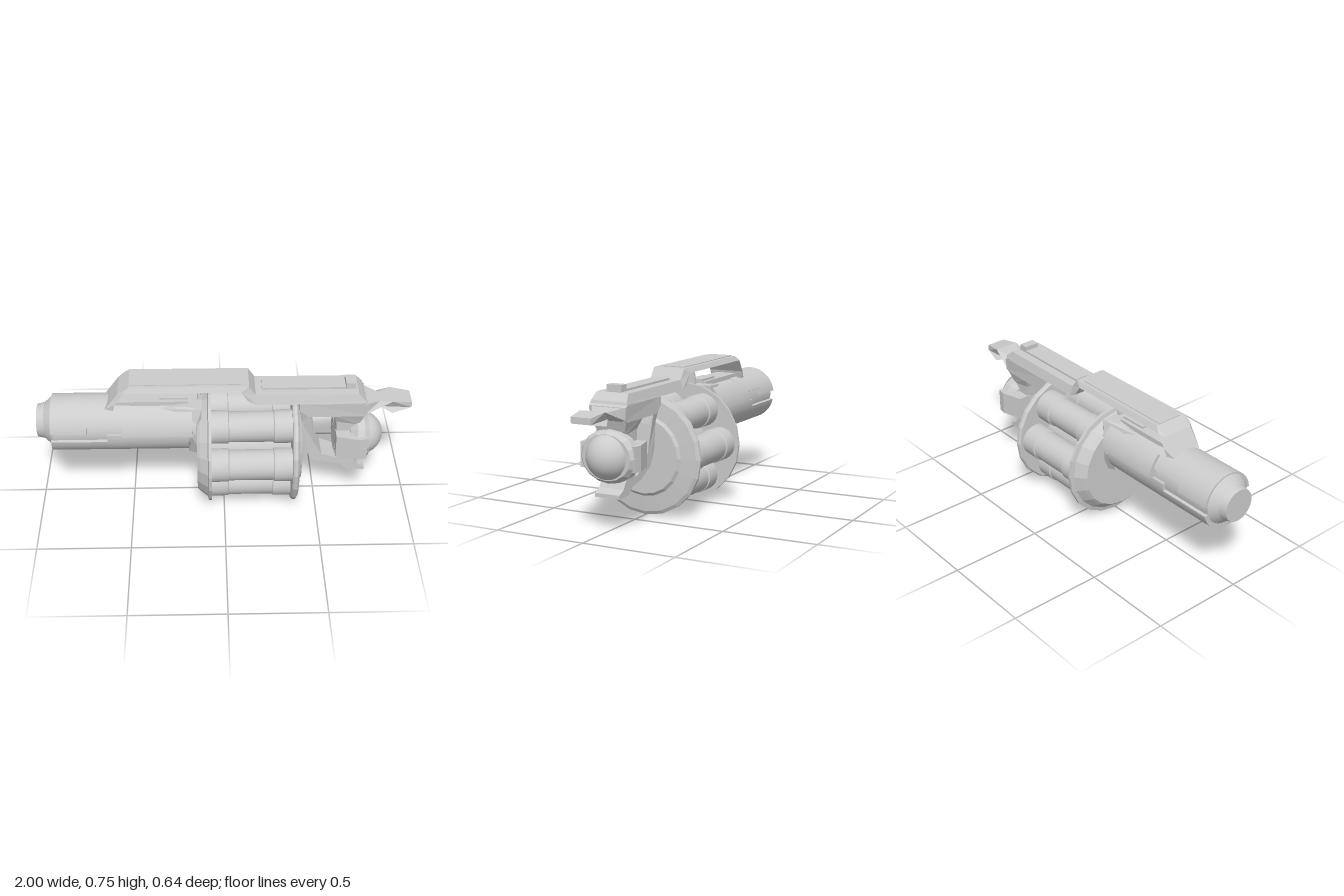
import * as THREE from 'three';
import { toCreasedNormals } from 'three/addons/utils/BufferGeometryUtils.js';

const flat = new THREE.MeshStandardMaterial({ color: 0xcccccc, flatShading: true });
const smooth = new THREE.MeshStandardMaterial({ color: 0xcccccc });

export function createModel() {
  const group = new THREE.Group();
  const BARREL_Y = 0.47, DRUM_Y = 0.318;

  function add(name, geometry, material = flat) {
    const mesh = new THREE.Mesh(geometry, material);
    mesh.name = name;
    group.add(mesh);
    return mesh;
  }

  // Side profile of [x, y, half width] points, widened point by point along z
  function slab(name, points) {
    const shape = new THREE.Shape(points.map(([x, y]) => new THREE.Vector2(x, y)));
    const geo = new THREE.ExtrudeGeometry(shape, { depth: 1, bevelEnabled: false });
    const width = new Map(points.map(([x, y, w]) => [x.toFixed(3) + y.toFixed(3), w]));
    const p = geo.attributes.position;
    for (let i = 0; i < p.count; i++) {
      const w = width.get(p.getX(i).toFixed(3) + p.getY(i).toFixed(3));
      p.setZ(i, p.getZ(i) > 0.5 ? w : -w);
    }
    geo.computeVertexNormals();
    return add(name, geo);
  }

  // Solid of revolution about x from [x, radius] points
  function turned(name, profile, y, z = 0, sides = 32, isFlat = false) {
    const geo = new THREE.LatheGeometry(profile.map(([x, r]) => new THREE.Vector2(r, x)), sides);
    geo.rotateZ(-Math.PI / 2);
    const mesh = add(name, isFlat ? geo : toCreasedNormals(geo, 0.5), isFlat ? flat : smooth);
    mesh.position.set(0, y, z);
    return mesh;
  }

  // Curved armour plate around the barrel, angles in degrees from the side
  function plate(name, x0, x1, inner, outer, a0, a1) {
    const s = new THREE.Shape();
    const from = THREE.MathUtils.degToRad(a0), to = THREE.MathUtils.degToRad(a1);
    s.absarc(0, 0, outer, from, to, false);
    s.absarc(0, 0, inner, to, from, true);
    const geo = new THREE.ExtrudeGeometry(s, { depth: x1 - x0, bevelEnabled: false, curveSegments: 20 });
    geo.rotateY(Math.PI / 2);
    const mesh = add(name, toCreasedNormals(geo, 0.5), smooth);
    mesh.position.set(x0, BARREL_Y, 0);
  }

  function box(name, x0, x1, y0, y1, z0, z1) {
    const mesh = add(name, new THREE.BoxGeometry(x1 - x0, y1 - y0, z1 - z0));
    mesh.position.set((x0 + x1) / 2, (y0 + y1) / 2, (z0 + z1) / 2);
  }

  // Barrel, muzzle and the stepped plates around them
  turned('barrel', [[-0.91, 0], [-0.91, 0.135], [-0.13, 0.135], [-0.13, 0]], BARREL_Y);
  turned('muzzle', [[-1, 0], [-1, 0.088], [-0.98, 0.093], [-0.96, 0.098], [-0.92, 0.135], [-0.9, 0.135], [-0.9, 0]], 0.482);
  plate('lowerBarrelPlate', -0.92, -0.62, 0.12, 0.152, -168, -12);
  plate('lowerBarrelPlate', -0.62, -0.19, 0.12, 0.152, -184, 4);
  plate('upperBarrelPlate', -0.92, -0.73, 0.12, 0.154, 8, 172);
  plate('upperBarrelPlate', -0.73, -0.5, 0.12, 0.154, 23, 157);
  plate('rearBarrelPlate', -0.54, -0.15, 0.12, 0.15, 4, 176);
  plate('sidePanel', -0.54, -0.17, 0.14, 0.172, 4, 50);
  plate('sidePanel', -0.54, -0.17, 0.14, 0.172, 130, 176);

  // Cowl joining barrel and drum, with the ridge and fin on top
  slab('cowl', [[-0.34, 0.6, 0.07], [-0.17, 0.46, 0.15], [-0.19, 0.33, 0.09], [-0.12, 0.32, 0.11],
    [-0.12, 0.62, 0.12], [-0.2, 0.62, 0.09]]);
  box('barrelRidge', -0.6, -0.19, 0.58, 0.632, -0.06, 0.06);
  box('ridgeCap', -0.34, -0.19, 0.62, 0.643, -0.04, 0.04);
  slab('handleFin', [[-0.145, 0.58, 0.03], [-0.12, 0.58, 0.03], [-0.126, 0.73, 0.015], [-0.134, 0.73, 0.015]]);

  // Revolving drum: end plates, axle and six chambers
  turned('drumFrontPlate', [[-0.145, 0], [-0.145, 0.25], [-0.13, 0.265], [-0.09, 0.295], [-0.085, 0.318], [-0.07, 0.318], [-0.07, 0]],
    DRUM_Y, 0, 20, true);
  turned('drumRearPlate', [[0.36, 0], [0.36, 0.31], [0.37, 0.318], [0.385, 0.318], [0.395, 0.3], [0.402, 0.215], [0.415, 0.2], [0.415, 0]],
    DRUM_Y, 0, 20, true);
  turned('drumAxle', [[-0.08, 0.12], [0.37, 0.12]], DRUM_Y);
  for (let i = 0; i < 6; i++) {
    const a = i * Math.PI / 3;
    turned('chamber', [[-0.08, 0.09], [0.02, 0.09], [0.025, 0.083], [0.26, 0.083], [0.265, 0.09], [0.37, 0.09]],
      DRUM_Y + 0.205 * Math.sin(a), 0.205 * Math.cos(a), 24);
  }

  // Carrying handle and the rear rail it runs into
  slab('carryHandle', [[-0.63, 0.605, 0.085], [-0.585, 0.605, 0.1], [-0.575, 0.645, 0.105], [-0.53, 0.715, 0.105],
    [0.09, 0.715, 0.105], [0.125, 0.66, 0.105], [0.17, 0.635, 0.105], [0.2, 0.635, 0.105], [0.2, 0.685, 0.09],
    [0.165, 0.69, 0.09], [0.13, 0.742, 0.09], [-0.5, 0.742, 0.09], [-0.56, 0.7, 0.085]]);
  box('handleTopPanel', -0.5, 0.09, 0.73, 0.746, -0.07, 0.07);
  slab('rearRail', [[0.17, 0.635, 0.105], [0.75, 0.635, 0.105], [0.745, 0.65, 0.1], [0.71, 0.688, 0.09], [0.165, 0.688, 0.09]]);
  box('railStrip', 0.2, 0.7, 0.68, 0.699, -0.04, 0.04);
  box('rearSight', 0.645, 0.695, 0.69, 0.724, -0.042, 0.042);

  // Receiver under the rail, and the tail spike behind it
  slab('receiver', [[0.4, 0.64, 0.1], [0.4, 0.59, 0.1], [0.45, 0.55, 0.1], [0.74, 0.55, 0.1], [0.76, 0.56, 0.1],
    [0.76, 0.625, 0.105], [0.74, 0.64, 0.105]]);
  slab('tailSpike', [[0.74, 0.555, 0.1], [0.83, 0.578, 0.045], [0.895, 0.555, 0.078], [1, 0.575, 0.055],
    [1, 0.608, 0.055], [0.895, 0.622, 0.07], [0.83, 0.61, 0.045], [0.74, 0.625, 0.1]]);

  // Grip and the guard sweeping under it
  slab('grip', [[0.58, 0.56, 0.1], [0.6, 0.5, 0.075], [0.605, 0.43, 0.07], [0.595, 0.3, 0.07], [0.62, 0.235, 0.07],
    [0.7, 0.26, 0.07], [0.72, 0.48, 0.075], [0.73, 0.5, 0.08], [0.75, 0.56, 0.1]]);
  slab('guard', [[0.4, 0.62, 0.1], [0.415, 0.5, 0.075], [0.42, 0.36, 0.07], [0.46, 0.28, 0.07], [0.55, 0.23, 0.07],
    [0.64, 0.21, 0.07], [0.68, 0.175, 0.07], [0.77, 0.17, 0.07], [0.77, 0.19, 0.07], [0.73, 0.21, 0.07],
    [0.7, 0.26, 0.07], [0.62, 0.25, 0.07], [0.53, 0.285, 0.07], [0.485, 0.36, 0.07], [0.475, 0.5, 0.075],
    [0.46, 0.56, 0.09], [0.5, 0.62, 0.1]]);

  // Ball in its socket, held by an arm on each side
  const socket = turned('ballSocket', [[0.68, 0], [0.68, 0.105], [0.715, 0.135], [0.755, 0.135], [0.78, 0.117], [0.78, 0]],
    0.375, 0, 16, true);
  socket.scale.z = 1.18;
  for (const side of [-1, 1]) {
    const arm = new THREE.Shape([[0.6, 0.06], [0.74, 0.06], [0.765, 0.155], [0.72, 0.163], [0.6, 0.13]]
      .map(([x, z]) => new THREE.Vector2(x, side * z)));
    const geo = new THREE.ExtrudeGeometry(arm, { depth: 0.13, bevelEnabled: false });
    geo.rotateX(Math.PI / 2);
    add('socketArm', geo).position.y = 0.44;
  }
  const ball = add('ball', new THREE.SphereGeometry(0.118, 32, 24), smooth);
  ball.position.set(0.745, 0.376, 0);

  return group;
}
